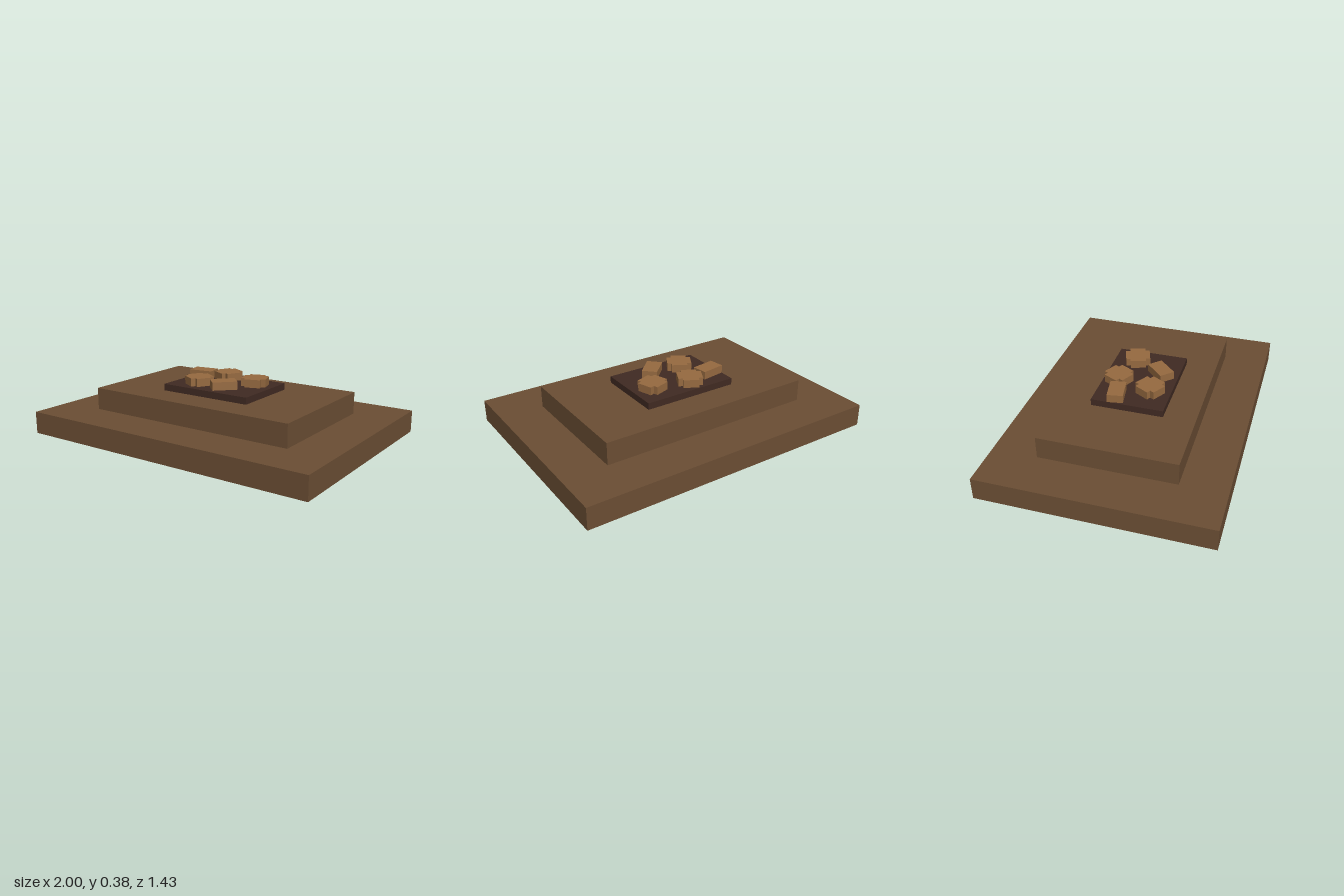
import * as THREE from 'three';

const earth = new THREE.MeshStandardMaterial({ name: 'earthBrown', color: 0x6b4e34 });
const dark = new THREE.MeshStandardMaterial({ name: 'darkBrown', color: 0x402a22 });
const wood = new THREE.MeshStandardMaterial({ name: 'lightWood', color: 0x966a40 });

const LENGTH = 0.157, WIDTH = 0.1, HEIGHT = 0.052;

// Box centred on x and z with its underside at y
function slab(name, w, h, d, y, material) {
  const mesh = new THREE.Mesh(new THREE.BoxGeometry(w, h, d), material);
  mesh.name = name;
  mesh.position.y = y + h / 2;
  return mesh;
}

// Two crossed blocks merged into one plus-shaped outline
function crossGeometry() {
  const a = LENGTH / 2, b = WIDTH / 2;
  const points = [];
  for (let i = 0; i < 4; i++) {
    for (const [x, y] of [[a, -b], [a, b], [b, b]]) {
      points.push(new THREE.Vector2(x, y).rotateAround(new THREE.Vector2(), i * Math.PI / 2));
    }
  }
  const geometry = new THREE.ExtrudeGeometry(new THREE.Shape(points), { depth: HEIGHT, bevelEnabled: false });
  return geometry.rotateX(-Math.PI / 2);
}

export function createModel() {
  const model = new THREE.Group();
  model.name = 'steppedPlatform';

  // Stepped base and the dark tray on top
  model.add(slab('lowerStep', 2, 0.143, 1.428, 0, earth));
  model.add(slab('upperStep', 1.428, 0.143, 0.856, 0.143, earth));
  model.add(slab('tray', 0.628, 0.043, 0.457, 0.286, dark));

  // Wooden pieces lying on the tray: x, z, turn in degrees
  const block = new THREE.BoxGeometry(LENGTH, HEIGHT, WIDTH).translate(0, HEIGHT / 2, 0);
  const cross = crossGeometry();
  const pieces = [
    ['plainBlock', block, -0.23, -0.088, 9],
    ['plainBlock', block, 0.07, 0.113, 45],
    ['crossedBlock', cross, -0.056, -0.128, -27],
    ['crossedBlock', cross, 0.186, -0.074, 18],
    ['crossedBlock', cross, -0.129, 0.098, -30],
  ];
  for (const [name, geometry, x, z, turn] of pieces) {
    const mesh = new THREE.Mesh(geometry, wood);
    mesh.name = name;
    mesh.position.set(x, 0.329, z);
    mesh.rotation.y = THREE.MathUtils.degToRad(turn);
    model.add(mesh);
  }
  return model;
}
